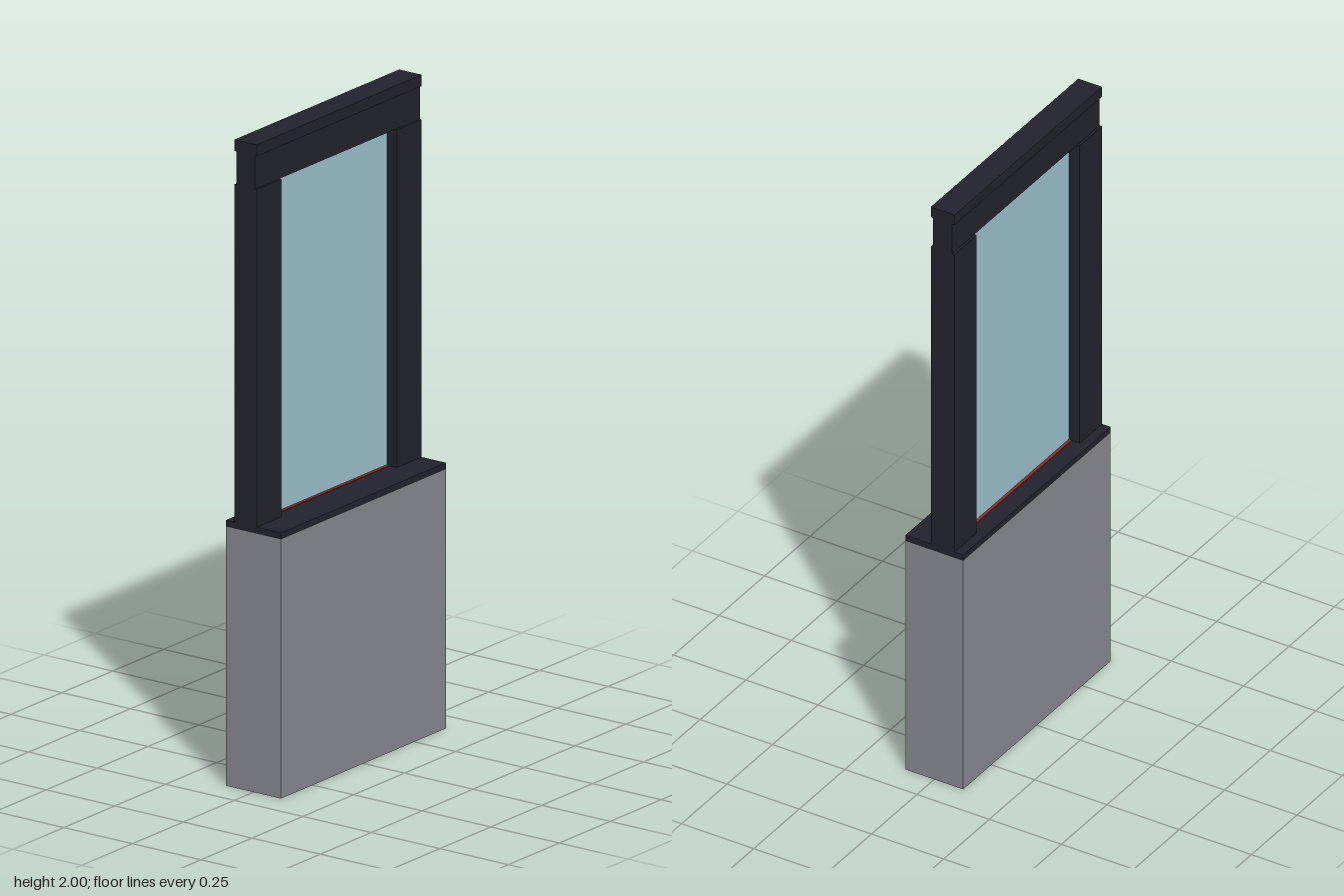
import * as THREE from 'three';

export function createModel() {
  const material = (name, color) => {
    const m = new THREE.MeshStandardMaterial({ color });
    m.name = name;
    return m;
  };
  const concrete = material('concrete grey', 0x85878c);
  const frame = material('dark frame', 0x22222d);
  const glass = material('pale blue glass', 0x99bfca);
  const red = material('red seal', 0x8a2a22);

  const model = new THREE.Group();
  model.name = 'windowWall';

  // Box given by its extents on each axis
  const box = (name, mat, [x0, x1], [y0, y1], [z0, z1]) => {
    const mesh = new THREE.Mesh(new THREE.BoxGeometry(x1 - x0, y1 - y0, z1 - z0), mat);
    mesh.position.set((x0 + x1) / 2, (y0 + y1) / 2, (z0 + z1) / 2);
    mesh.name = name;
    model.add(mesh);
  };

  const full = [-0.405, 0.405];
  const opening = [-0.283, 0.283];
  const frameDepth = [-0.07, 0.012];

  // Low wall and its sill
  box('wall', concrete, full, [0, 0.8], [-0.1, 0.1]);
  box('sill', frame, full, [0.8, 0.82], [-0.1, 0.1]);

  // Side posts
  box('rightPost', frame, [full[0], opening[0]], [0.82, 1.862], frameDepth);
  box('leftPost', frame, [opening[1], full[1]], [0.82, 1.862], frameDepth);

  // Recessed lintel under a projecting cap
  box('lintel', frame, full, [1.862, 1.965], [-0.062, 0.005]);
  box('topCap', frame, full, [1.965, 2], frameDepth);

  // Pane in the middle of the frame, on a flat seal
  box('pane', glass, opening, [0.82, 1.862], [-0.033, -0.025]);
  box('seal', red, opening, [0.82, 0.822], [-0.043, -0.015]);

  return model;
}
